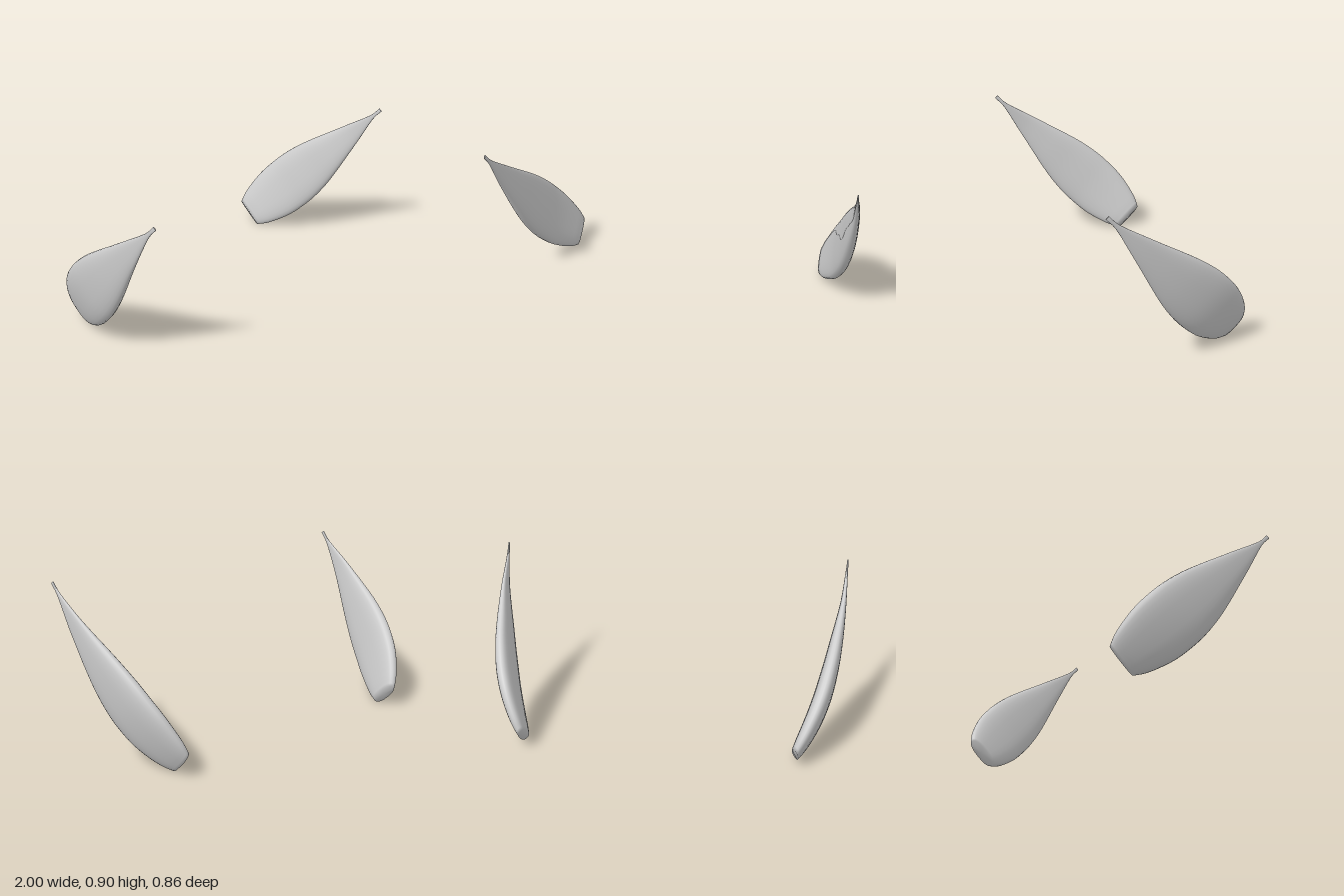
import * as THREE from 'three';

// Stations along the pod: distance from tip, half width, half thickness,
// x of centre line, lean of the section towards the inner side
const STATIONS = [
  [0.004, 0.011, 0.004, 0.995, 0],
  [0.085, 0.014, 0.007, 0.991, 0],
  [0.25, 0.057, 0.016, 0.982, 0],
  [0.38, 0.091, 0.027, 0.968, 0],
  [0.50, 0.123, 0.037, 0.952, 0],
  [0.62, 0.151, 0.044, 0.934, 0],
  [0.74, 0.168, 0.049, 0.911, 0],
  [0.84, 0.171, 0.050, 0.887, 0],
  [0.94, 0.165, 0.048, 0.855, 0.05],
  [1.03, 0.145, 0.043, 0.819, 0.15],
  [1.10, 0.120, 0.036, 0.786, 0.3],
  [1.148, 0.091, 0.027, 0.761, 0.45],
];
const TIP_Y = 0.905, TIP_Z = 0.425;
const DIR_Y = -0.726, DIR_Z = -0.687; // long axis seen from the side
const SIDES = 28, STEPS = (STATIONS.length - 1) * 3;

// Signed power, gives sections with flatter faces and rounder edges
const soft = (v) => Math.sign(v) * Math.abs(v) ** 0.8;

// Lofted pod with oval sections; side is +1 or -1 in x
function podGeometry(side) {
  const centre = new THREE.CatmullRomCurve3(STATIONS.map(([s, , , x]) =>
    new THREE.Vector3(x, TIP_Y + DIR_Y * s, TIP_Z + DIR_Z * s)), false, 'catmullrom');
  const size = new THREE.CatmullRomCurve3(STATIONS.map(([, w, t, , lean]) =>
    new THREE.Vector3(w, t, lean)), false, 'catmullrom');
  const across = new THREE.Vector3(0, -DIR_Z, DIR_Y);
  const pos = [], index = [];
  const add = (p) => pos.push(p.x * side, p.y, p.z) / 3 - 1;
  const tri = (a, b, c) => (side > 0 ? index.push(a, b, c) : index.push(a, c, b));

  // Rings of the skin
  for (let i = 0; i <= STEPS; i++) {
    const c = centre.getPoint(i / STEPS), h = size.getPoint(i / STEPS);
    const along = centre.getTangent(i / STEPS);
    const out = along.clone().cross(across).normalize().addScaledVector(along, h.z);
    for (let j = 0; j < SIDES; j++) {
      const a = (j / SIDES) * Math.PI * 2;
      add(c.clone().addScaledVector(across, h.x * soft(Math.cos(a)))
        .addScaledVector(out, h.y * soft(Math.sin(a))));
    }
  }
  for (let i = 0; i < STEPS; i++) {
    for (let j = 0; j < SIDES; j++) {
      const k = (j + 1) % SIDES, a = i * SIDES, b = a + SIDES;
      tri(a + j, a + k, b + j);
      tri(a + k, b + k, b + j);
    }
  }

  // Ends, shaded smoothly into the skin
  const tip = add(centre.getPoint(0)), base = add(centre.getPoint(1));
  for (let j = 0; j < SIDES; j++) {
    const k = (j + 1) % SIDES, last = STEPS * SIDES;
    tri(tip, k, j);
    tri(base, last + j, last + k);
  }

  const geometry = new THREE.BufferGeometry();
  geometry.setAttribute('position', new THREE.Float32BufferAttribute(pos, 3));
  geometry.setIndex(index);
  geometry.computeVertexNormals();
  return geometry;
}

export function createModel() {
  const group = new THREE.Group();
  group.name = 'podPair';
  const grey = new THREE.MeshStandardMaterial({ color: 0xcccccc });
  grey.name = 'light grey';
  for (const [name, side] of [['leftPod', 1], ['rightPod', -1]]) {
    const pod = new THREE.Mesh(podGeometry(side), grey);
    pod.name = name;
    group.add(pod);
  }
  return group;
}
